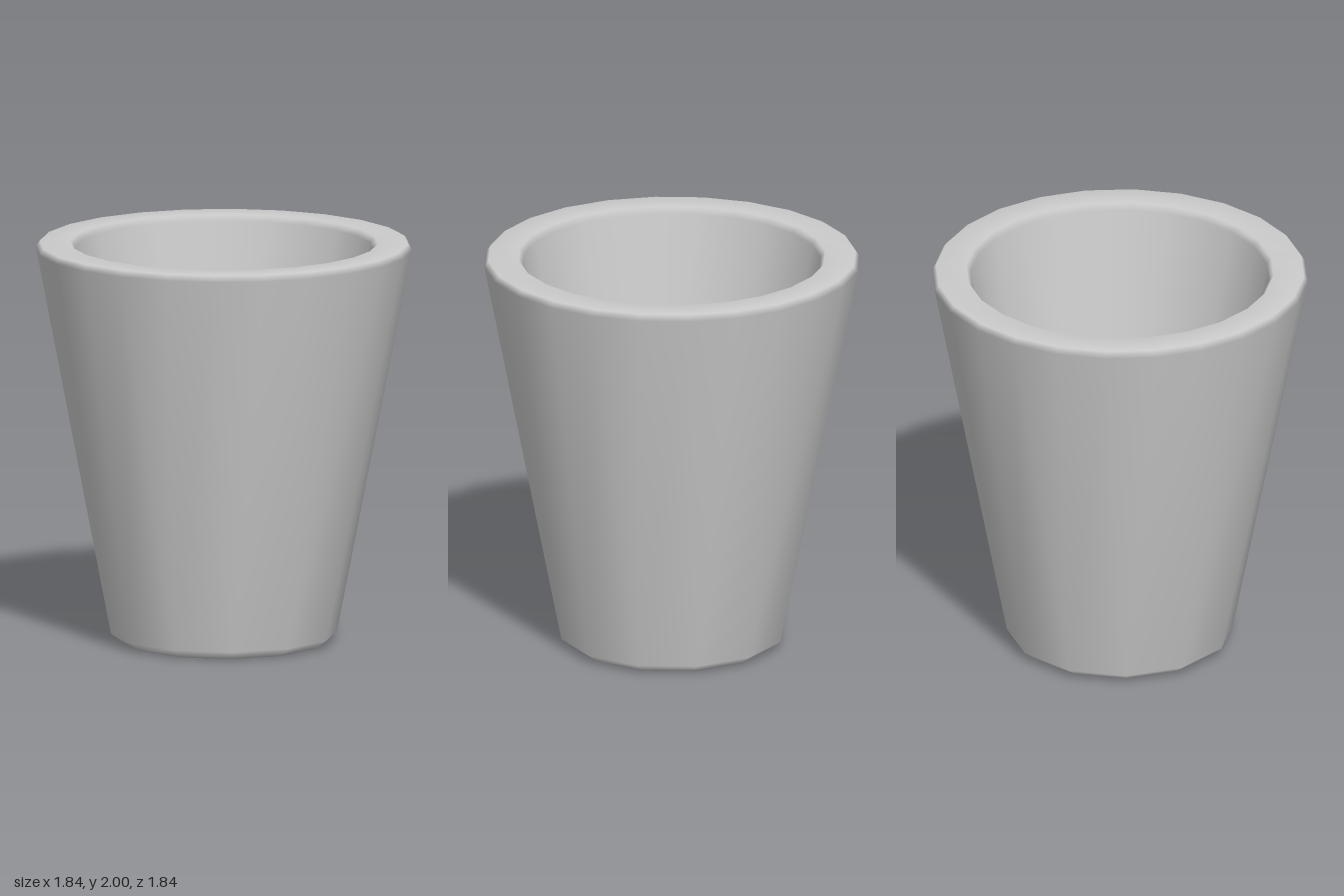
import * as THREE from 'three';
import { mergeVertices } from 'three/addons/utils/BufferGeometryUtils.js';

const SEGMENTS = 24;

// [radius, height, sides]: underside, outer wall, rim, inner wall, floor
const PROFILE = [
  [0, 0, 12], [0.5, 0, 12], [0.56, 0.045, 12],
  [0.93, 1.97, 24], [0.91, 2, 24], [0.76, 2, 24], [0.737, 1.97, 24],
  [0.445, 0.28, 12], [0.425, 0.25, 12], [0, 0.25, 12],
];

// A ring with 12 sides shares each corner between two of the 24 segments
function ringPoint([radius, height, sides], i) {
  const share = SEGMENTS / sides;
  const corner = Math.floor((i % SEGMENTS) / share);
  const angle = ((corner + 0.5) / sides) * Math.PI * 2;
  return [radius * Math.sin(angle), height, radius * Math.cos(angle)];
}

function cupGeometry() {
  const positions = [];
  for (const ring of PROFILE) {
    for (let i = 0; i < SEGMENTS; i++) positions.push(...ringPoint(ring, i));
  }
  const index = [];
  for (let r = 0; r < PROFILE.length - 1; r++) {
    for (let i = 0; i < SEGMENTS; i++) {
      const next = (i + 1) % SEGMENTS;
      const a = r * SEGMENTS + i, b = r * SEGMENTS + next;
      const c = b + SEGMENTS, d = a + SEGMENTS;
      index.push(a, b, c, a, c, d);
    }
  }
  let geometry = new THREE.BufferGeometry();
  geometry.setAttribute('position', new THREE.Float32BufferAttribute(positions, 3));
  geometry.setIndex(index);
  geometry = mergeVertices(geometry, 1e-4);
  geometry.computeVertexNormals(); // large faces dominate, so bevels shade softly
  return geometry;
}

export function createModel() {
  const group = new THREE.Group();
  group.name = 'cup';
  const body = new THREE.Mesh(cupGeometry(), new THREE.MeshStandardMaterial({ color: 0xcccccc }));
  body.name = 'cupBody';
  group.add(body);
  return group;
}
